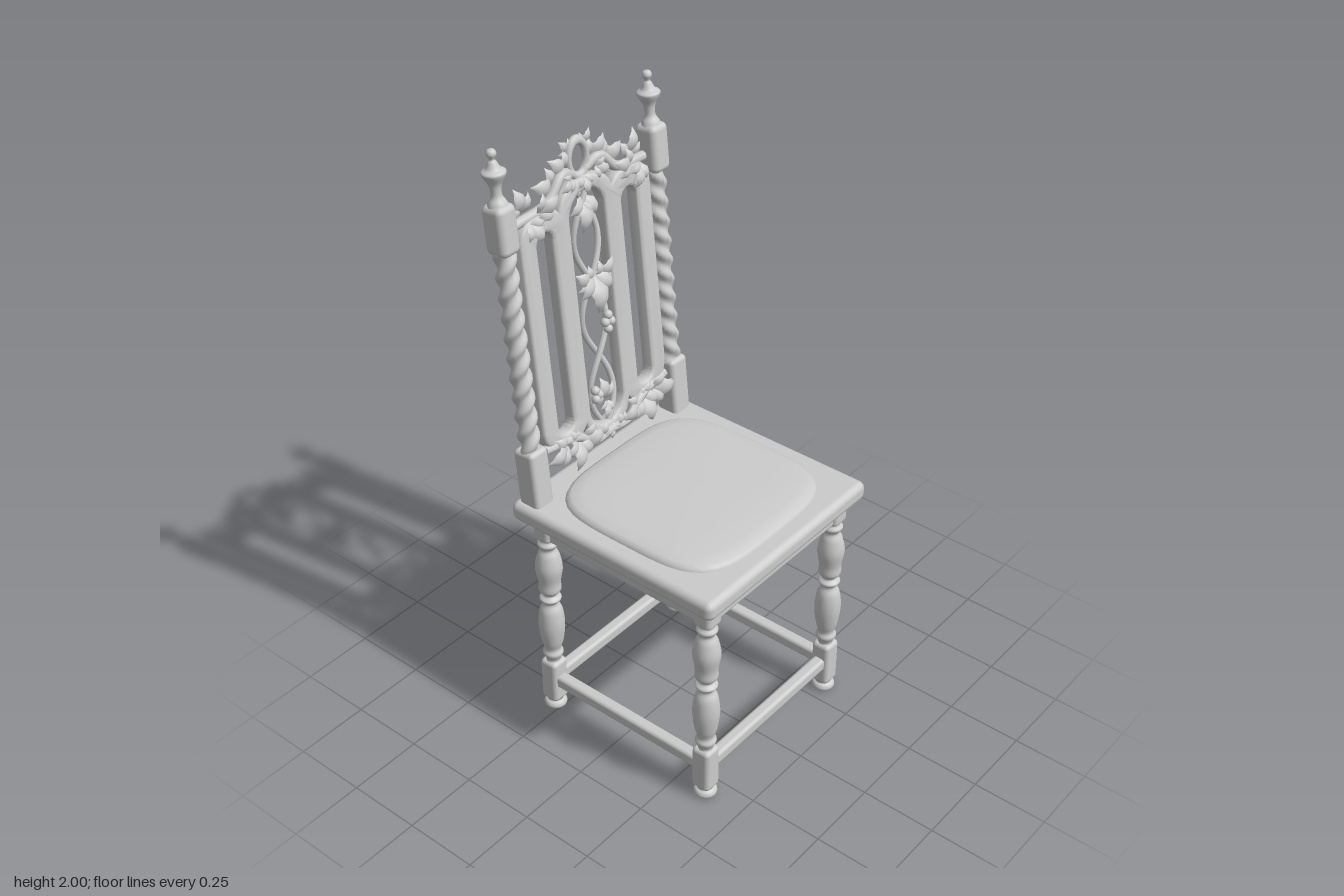
import * as THREE from 'three';
import { mergeVertices, toCreasedNormals } from 'three/addons/utils/BufferGeometryUtils.js';
import { RoundedBoxGeometry } from 'three/addons/geometries/RoundedBoxGeometry.js';
import { ParametricGeometry } from 'three/addons/geometries/ParametricGeometry.js';

const wood = new THREE.MeshStandardMaterial({ color: 0xcccccc });
const thin = new THREE.MeshStandardMaterial({ color: 0xcccccc, side: THREE.DoubleSide });

function add(parent, name, geometry, x = 0, y = 0, z = 0, material = wood) {
  const mesh = new THREE.Mesh(geometry, material);
  mesh.name = name;
  mesh.position.set(x, y, z);
  parent.add(mesh);
  return mesh;
}
const block = (w, h, d, r = 0.012) => new RoundedBoxGeometry(w, h, d, 2, r);

// Turned part from [radius, height] pairs, smoothed by a spline
function turned(points, steps) {
  const spline = new THREE.SplineCurve(points.map(([r, y]) => new THREE.Vector2(r, y)));
  const profile = spline.getPoints(steps);
  profile.forEach((p) => { p.x = Math.max(p.x, 0); });
  return new THREE.LatheGeometry(profile, 20);
}

// Puffed pad: a lathed dome pushed out to a rounded square
function padGeometry(a, b, h) {
  const profile = [[1, -0.2], [1, 0], [0.985, 0.35], [0.95, 0.6], [0.85, 0.8], [0.6, 0.95], [0, 1]];
  let g = new THREE.LatheGeometry(profile.map(([r, y]) => new THREE.Vector2(r, y * h)), 64);
  const p = g.attributes.position;
  for (let i = 0; i < p.count; i++) {
    const x = p.getX(i), z = p.getZ(i), r = Math.hypot(x, z);
    if (r < 1e-6) continue; // the crown stays on the axis
    const k = Math.pow((x / r) ** 4 + (z / r) ** 4, -0.25);
    p.setX(i, x * k * a);
    p.setZ(i, z * k * b);
  }
  g.deleteAttribute('normal');
  g.deleteAttribute('uv');
  g = mergeVertices(g);
  g.computeVertexNormals();
  return g;
}

// Two-strand rope twist
function twistGeometry(height, hand) {
  const g = new THREE.CylinderGeometry(1, 1, height, 20, 90, true);
  const p = g.attributes.position;
  for (let i = 0; i < p.count; i++) {
    const x = p.getX(i), y = p.getY(i), z = p.getZ(i);
    const r = 0.03 + 0.0055 * Math.cos(2 * Math.atan2(z, x) - hand * y * 2 * Math.PI / 0.066);
    p.setXYZ(i, x * r, y, z * r);
  }
  g.computeVertexNormals();
  return g;
}

// Upright slot with round ends
function slot(x, y0, y1, r) {
  const path = new THREE.Path();
  path.moveTo(x + r, y0 + r);
  path.lineTo(x + r, y1 - r);
  path.absarc(x, y1 - r, r, 0, Math.PI, false);
  path.lineTo(x - r, y0 + r);
  path.absarc(x, y0 + r, r, Math.PI, 2 * Math.PI, false);
  return path;
}

// Scalloped back panel with three openings
function panelGeometry() {
  const s = new THREE.Shape();
  s.moveTo(-0.285, 1.06);
  s.bezierCurveTo(-0.285, 0.95, -0.12, 0.95, -0.1, 1.0);
  s.bezierCurveTo(-0.1, 0.9, 0.1, 0.9, 0.1, 1.0);
  s.bezierCurveTo(0.12, 0.95, 0.285, 0.95, 0.285, 1.06);
  s.lineTo(0.285, 1.68);
  s.bezierCurveTo(0.285, 1.78, 0.14, 1.78, 0.115, 1.73);
  s.bezierCurveTo(0.1, 1.82, -0.1, 1.82, -0.115, 1.73);
  s.bezierCurveTo(-0.14, 1.78, -0.285, 1.78, -0.285, 1.68);
  s.holes.push(slot(-0.184, 1.02, 1.69, 0.033), slot(0.184, 1.02, 1.69, 0.033), slot(0, 0.965, 1.755, 0.075));
  const g = new THREE.ExtrudeGeometry(s, {
    depth: 0.022, curveSegments: 14, bevelSize: 0.014, bevelThickness: 0.014, bevelOffset: -0.014, bevelSegments: 4,
  });
  return toCreasedNormals(g, 0.7);
}

// One pointed blade growing along +y, folded at the midrib and arched forward
const blade = new ParametricGeometry((u, v, t) => {
  const side = u * 2 - 1;
  const half = 0.27 * Math.sin(Math.PI * Math.pow(v, 0.75)) * (1 + 0.1 * Math.cos(v * 18));
  t.set(side * half, v, 0.32 * Math.sin(Math.PI * v * 0.9) - 0.35 * half * side * side);
}, 6, 12);

// Three-lobed leaf
function leaf(parent, x, y, z, angle, size) {
  const g = new THREE.Group();
  g.name = 'leaf';
  [[-0.85, 0.72], [0, 1], [0.85, 0.72]].forEach(([turn, s]) => {
    const m = add(g, 'leafLobe', blade, 0, 0, 0, thin);
    m.rotation.z = turn;
    m.scale.setScalar(s);
  });
  g.position.set(x, y, z);
  g.rotation.z = angle;
  g.scale.setScalar(size);
  parent.add(g);
}

const tube = (points, r) => new THREE.TubeGeometry(
  new THREE.CatmullRomCurve3(points.map((p) => new THREE.Vector3(...p))), 50, r, 8);

function buildBase(chair) {
  const legProfile = [[0.03, 0.19], [0.024, 0.205], [0.034, 0.23], [0.027, 0.25], [0.036, 0.285], [0.043, 0.35],
    [0.037, 0.41], [0.024, 0.44], [0.036, 0.46], [0.022, 0.475], [0.036, 0.495], [0.036, 0.53], [0.044, 0.585],
    [0.035, 0.635], [0.024, 0.66], [0.034, 0.68], [0.025, 0.695], [0.03, 0.71]];
  const leg = turned(legProfile, 70);
  const foot = turned([[0, 0], [0.03, 0.002], [0.038, 0.012], [0.034, 0.024], [0.026, 0.03], [0.03, 0.04]], 20);
  for (const x of [-0.315, 0.315]) {
    for (const z of [-0.275, 0.36]) {
      add(chair, 'leg', leg, x, 0, z);
      add(chair, 'foot', foot, x, 0, z);
      add(chair, 'legLowerBlock', block(0.066, 0.165, 0.066, 0.015), x, 0.118, z);
      add(chair, 'legUpperBlock', block(0.066, 0.09, 0.066, 0.015), x, 0.745, z);
    }
    add(chair, 'sideStretcher', block(0.042, 0.046, 0.6), x, 0.122, 0.0425);
    add(chair, 'sideApron', block(0.045, 0.085, 0.6), x, 0.747, 0.0425);
  }
  for (const z of [-0.275, 0.36]) {
    add(chair, 'stretcher', block(0.6, 0.046, 0.042), 0, 0.122, z);
    add(chair, 'apron', block(0.6, 0.085, 0.045), 0, 0.747, z);
  }
  add(chair, 'seat', block(0.78, 0.067, 0.785, 0.024), 0, 0.812, 0.0375);
  add(chair, 'seatPad', padGeometry(0.33, 0.325, 0.032), 0, 0.844, 0.045);
}

function buildPosts(back) {
  const finial = turned([[0.034, 1.825], [0.027, 1.845], [0.018, 1.86], [0.016, 1.875], [0.02, 1.9], [0.034, 1.925],
    [0.036, 1.937], [0.022, 1.947], [0.013, 1.965], [0.008, 1.973], [0.015, 1.988], [0.011, 2.0], [0, 2.004]], 52);
  for (const side of [-1, 1]) {
    const x = side * 0.329;
    add(back, 'postLowerBlock', block(0.076, 0.22, 0.08, 0.015), x, 0.925, 0);
    add(back, 'twistedPost', twistGeometry(0.69, side), x, 1.36, 0);
    add(back, 'postUpperBlock', block(0.074, 0.155, 0.08, 0.02), x, 1.762, 0);
    add(back, 'finial', finial, x, 0, 0);
  }
}

function buildCarving(back) {
  // Crest ring and scrolling stems
  const ring = add(back, 'crestRing', new THREE.TorusGeometry(0.04, 0.011, 10, 32), 0, 1.85, 0);
  ring.scale.set(0.95, 1.4, 1.2);
  for (const s of [-1, 1]) {
    add(back, 'crestStem', tube([[s * 0.03, 1.81, 0], [s * 0.08, 1.83, 0.01], [s * 0.15, 1.77, 0.01], [s * 0.28, 1.75, 0]], 0.016));
    add(back, 'lowerStem', tube([[0, 0.935, 0.02], [s * 0.08, 0.935, 0.025], [s * 0.15, 0.985, 0.025], [s * 0.28, 1.0, 0.01]], 0.016));
    // Intertwined vine stems in the centre opening
    const stem = [];
    for (let i = 0; i <= 16; i++) {
      const a = i / 16 * Math.PI * 3;
      stem.push([s * 0.05 * Math.sin(a + 0.15), 0.965 + i * 0.049, s * 0.012 * Math.cos(a)]);
    }
    add(back, 'vineStem', tube(stem, 0.01));

    // Mirrored leaves: x, y, z, angle, size
    [[0.24, 1.745, 0.025, 2.6, 0.075], [0.2, 1.76, 0.02, 1.2, 0.085], [0.23, 1.765, -0.02, -0.3, 0.09],
      [0.1, 1.8, -0.015, -1.25, 0.1], [0.05, 1.83, -0.01, -0.9, 0.09], [0.03, 1.88, -0.01, -0.7, 0.055], [0.05, 1.81, 0.02, -2.0, 0.06],
      [0.15, 0.98, 0.026, -2.85, 0.105], [0.2, 0.985, 0.026, -1.75, 0.1], [0.13, 0.975, 0.026, 1.9, 0.09],
      [0.16, 0.98, 0.026, -0.5, 0.05], [0.05, 0.935, 0.026, 0.5, 0.055]]
      .forEach(([x, y, z, angle, size]) => leaf(back, s * x, y, z, s * angle, size));
  }
  // Leaves on the vine and crest centre
  [[0, 1.73, 0.005, 2.9, 0.11], [0.02, 1.66, 0.01, 0.5, 0.07], [0, 1.48, 0.015, 3.1, 0.13], [-0.02, 1.46, 0.015, 0.9, 0.08],
    [0.02, 1.46, 0.015, -0.9, 0.08], [0, 1.04, 0.005, 0.2, 0.09], [0.01, 1.03, 0.01, 2.7, 0.06],
    [-0.02, 1.09, 0.005, 2.2, 0.06], [0, 1.8, 0.02, 3.14, 0.06], [0, 0.95, 0.02, 3.14, 0.05]]
    .forEach((l) => leaf(back, ...l));
  // Berry clusters
  const berry = new THREE.SphereGeometry(0.015, 12, 8);
  [[0.025, 1.305], [0.05, 1.3], [0.035, 1.28], [0.04, 1.325], [-0.05, 1.1], [-0.035, 1.08], [-0.05, 1.07]]
    .forEach(([x, y]) => add(back, 'berry', berry, x, y, 0.022));
}

export function createModel() {
  const chair = new THREE.Group();
  chair.name = 'carvedChair';
  buildBase(chair);

  // The back leans from the seat top
  const lean = new THREE.Group();
  lean.name = 'leaningBack';
  lean.position.set(0, 0.85, -0.297);
  lean.rotation.x = -0.089;
  const back = new THREE.Group();
  back.name = 'chairBack';
  back.position.y = -0.85;
  lean.add(back);
  chair.add(lean);
  buildPosts(back);
  add(back, 'backPanel', panelGeometry(), 0, 0, -0.012);
  buildCarving(back);
  return chair;
}
